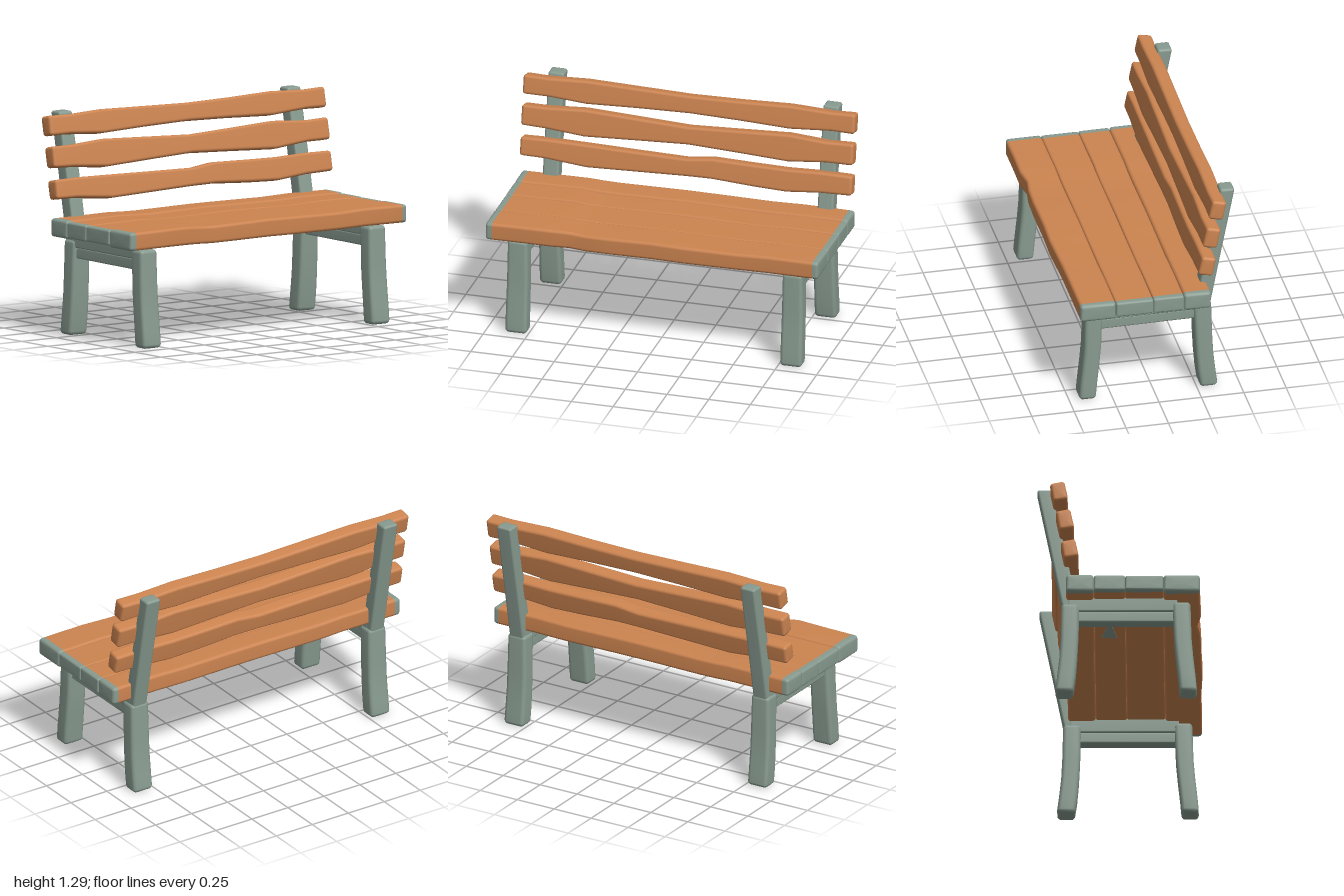
import * as THREE from 'three';

const wood = new THREE.MeshStandardMaterial({ color: 0xcc8450 });
wood.name = 'warm wood';
const grey = new THREE.MeshStandardMaterial({ color: 0x889b90 });
grey.name = 'grey green';

const alongX = (t, a, b) => [t, a, b]; // a = y, b = z
const alongY = (t, a, b) => [b, t, a]; // a = z, b = x
const alongZ = (t, a, b) => [a, b, t]; // a = x, b = y

// Rounded beam through sections [t, aMin, aMax, bMin, bMax], with rounded ends.
// pick(t) gives the material index of a stretch of the beam.
function beam(name, sections, r, map, materials = grey, pick = () => 0) {
  const first = sections[0], last = sections[sections.length - 1];
  const steps = 3, arc = 3;
  const rings = [];
  const inset = (s, dir, k) => {
    const ang = (k / steps) * Math.PI / 2;
    return { s: [s[0] + dir * r * (1 - Math.sin(ang)), ...s.slice(1)], d: r * (1 - Math.cos(ang)) };
  };
  for (let k = 0; k <= steps; k++) {
    const ring = inset(first, 1, k);
    ring.d = r * (1 - Math.sin((k / steps) * Math.PI / 2));
    ring.s[0] = first[0] + r * (1 - Math.cos((k / steps) * Math.PI / 2));
    rings.push(ring);
  }
  sections.slice(1, -1).forEach((s) => rings.push({ s, d: 0 }));
  for (let k = steps; k >= 0; k--) {
    const ring = inset(last, -1, k);
    ring.d = r * (1 - Math.sin((k / steps) * Math.PI / 2));
    ring.s[0] = last[0] - r * (1 - Math.cos((k / steps) * Math.PI / 2));
    rings.push(ring);
  }

  const pos = [], idx = [], n = 4 * (arc + 1);
  const geo = new THREE.BufferGeometry();
  for (const { s: [t, a0, a1, b0, b1], d } of rings) {
    const q = Math.max(r - d, 0.002);
    for (let c = 0; c < 4; c++) {
      const ca = c === 0 || c === 3 ? a1 - d - q : a0 + d + q;
      const cb = c < 2 ? b1 - d - q : b0 + d + q;
      for (let k = 0; k <= arc; k++) {
        const ang = (c + k / arc) * Math.PI / 2;
        pos.push(...map(t, ca + q * Math.cos(ang), cb + q * Math.sin(ang)));
      }
    }
  }
  const cap = (ring) => {
    const [t, a0, a1, b0, b1] = ring.s;
    pos.push(...map(t, (a0 + a1) / 2, (b0 + b1) / 2));
    return pos.length / 3 - 1;
  };
  const addGroup = (start, t) => geo.addGroup(start, idx.length - start, pick(t));

  const c0 = cap(rings[0]), c1 = cap(rings[rings.length - 1]);
  for (let j = 0; j < n; j++) idx.push(c0, (j + 1) % n, j);
  addGroup(0, first[0]);
  for (let i = 0; i < rings.length - 1; i++) {
    const start = idx.length;
    for (let j = 0; j < n; j++) {
      const p = i * n + j, q = i * n + (j + 1) % n;
      idx.push(p, q, p + n, q, q + n, p + n);
    }
    addGroup(start, (rings[i].s[0] + rings[i + 1].s[0]) / 2);
  }
  const start = idx.length, base = (rings.length - 1) * n;
  for (let j = 0; j < n; j++) idx.push(c1, base + j, base + (j + 1) % n);
  addGroup(start, last[0]);

  geo.setAttribute('position', new THREE.Float32BufferAttribute(pos, 3));
  geo.setIndex(idx);
  geo.computeVertexNormals();
  const mesh = new THREE.Mesh(geo, materials);
  mesh.name = name;
  return mesh;
}

export function createModel() {
  const bench = new THREE.Group();
  bench.name = 'bench';

  // Seat planks with grey end grain: [back z, front z, bottom y, top y]
  const seat = new THREE.Group();
  seat.name = 'seat';
  const planks = [
    [0.25, 0.46, 0.58, 0.685],
    [0.03, 0.25, 0.59, 0.68],
    [-0.15, 0.03, 0.588, 0.682],
    [-0.31, -0.15, 0.582, 0.688],
  ];
  // Unevenness along the plank: [x, height change, front edge change]
  const wave = [
    [-1, 0, 0], [-0.96, 0, 0], [-0.8, 0.002, 0], [-0.6, 0.005, 0.003], [-0.5, -0.003, -0.016],
    [-0.4, -0.006, -0.002], [-0.25, -0.003, 0.003], [0, 0.002, 0.003], [0.2, 0, 0.008],
    [0.5, -0.005, -0.002], [0.7, 0.003, 0], [0.96, 0, 0], [0.995, 0, 0],
  ];
  planks.forEach(([z0, z1, y0, y1], i) => {
    const sections = wave.map(([x, dy, dz]) =>
      [x, y0 + dy * 0.5, y1 + dy * (i % 2 ? 0.6 : 1), z0, z1 + (i === 0 ? dz : 0)]);
    seat.add(beam('seatPlank', sections, i % 3 === 0 ? 0.018 : 0.012, alongX, [wood, grey],
      (x) => (Math.abs(x) > 0.959 ? 1 : 0)));
  });
  bench.add(seat);

  // Grey chip on the underside of the seat
  const chipShape = new THREE.Shape([
    new THREE.Vector2(-0.35, 0.02), new THREE.Vector2(-0.36, 0.11),
    new THREE.Vector2(-0.52, 0.07), new THREE.Vector2(-0.7, 0.02), new THREE.Vector2(-0.5, 0.045),
  ]);
  const chip = new THREE.Mesh(
    new THREE.ExtrudeGeometry(chipShape, { depth: 0.008, bevelEnabled: false }), grey);
  chip.name = 'undersideChip';
  chip.rotation.x = -Math.PI / 2;
  chip.position.y = 0.582;
  bench.add(chip);

  // Leaning back slats: centre y and z, then [x, bottom y, top y] along the slat
  const backrest = new THREE.Group();
  backrest.name = 'backrest';
  const slats = [
    { y: 0.848, z: -0.288, line: [[-1, 0.79, 0.917], [-0.85, 0.788, 0.92], [-0.6, 0.765, 0.916],
      [-0.3, 0.775, 0.91], [0, 0.785, 0.905], [0.15, 0.787, 0.924], [0.4, 0.772, 0.918],
      [0.6, 0.765, 0.915], [0.8, 0.783, 0.922], [0.99, 0.787, 0.92]] },
    { y: 1.038, z: -0.316, line: [[-1, 0.97, 1.108], [-0.85, 0.965, 1.108], [-0.62, 0.945, 1.122],
      [-0.3, 0.96, 1.108], [0, 0.973, 1.095], [0.3, 0.96, 1.108], [0.6, 0.945, 1.122],
      [0.83, 0.967, 1.106], [0.99, 0.967, 1.11]] },
    { y: 1.215, z: -0.35, line: [[-1, 1.152, 1.283], [-0.85, 1.152, 1.28], [-0.62, 1.136, 1.29],
      [-0.3, 1.148, 1.282], [0, 1.155, 1.275], [0.3, 1.148, 1.28], [0.6, 1.136, 1.29],
      [0.85, 1.153, 1.28], [0.99, 1.15, 1.284]] },
  ];
  for (const { y, z, line } of slats) {
    const sections = line.map(([x, lo, hi]) =>
      [x, lo - y + 0.008, hi - y - 0.008, -0.043, 0.043]);
    const slat = beam('backSlat', sections, 0.017, alongX, wood);
    slat.rotation.x = -0.2;
    slat.position.set(0, y, z);
    backrest.add(slat);
  }
  bench.add(backrest);

  // Side frames: legs, back post and double rail
  for (const side of [-1, 1]) {
    const frame = new THREE.Group();
    frame.name = side > 0 ? 'leftFrame' : 'rightFrame';
    const leg = (name, rows) => frame.add(
      beam(name, rows.map(([y, z0, z1, w]) => [y, z0, z1, -w, w]), 0.022, alongY));
    leg('frontLeg', [[0, 0.342, 0.442, 0.065], [0.1, 0.335, 0.435, 0.065],
      [0.22, 0.322, 0.422, 0.064], [0.34, 0.311, 0.412, 0.063], [0.568, 0.303, 0.406, 0.06]]);
    leg('backLeg', [[0, -0.372, -0.268, 0.065], [0.1, -0.362, -0.257, 0.065],
      [0.22, -0.349, -0.247, 0.064], [0.34, -0.343, -0.241, 0.063], [0.557, -0.338, -0.234, 0.06]]);
    frame.add(beam('backPost', [[0.52, -0.332, -0.242, -0.048, 0.048],
      [0.9, -0.402, -0.313, -0.048, 0.048], [1.285, -0.475, -0.39, -0.048, 0.048]], 0.014, alongY));
    frame.add(beam('lowerRail', [[-0.3, -0.04, 0.04, 0.45, 0.516],
      [0.36, -0.04, 0.04, 0.446, 0.512]], 0.01, alongZ));
    frame.add(beam('upperRail', [[-0.3, -0.05, 0.05, 0.512, 0.6],
      [0.33, -0.05, 0.05, 0.51, 0.6]], 0.01, alongZ));
    frame.position.x = side * 0.824;
    bench.add(frame);
  }
  return bench;
}
